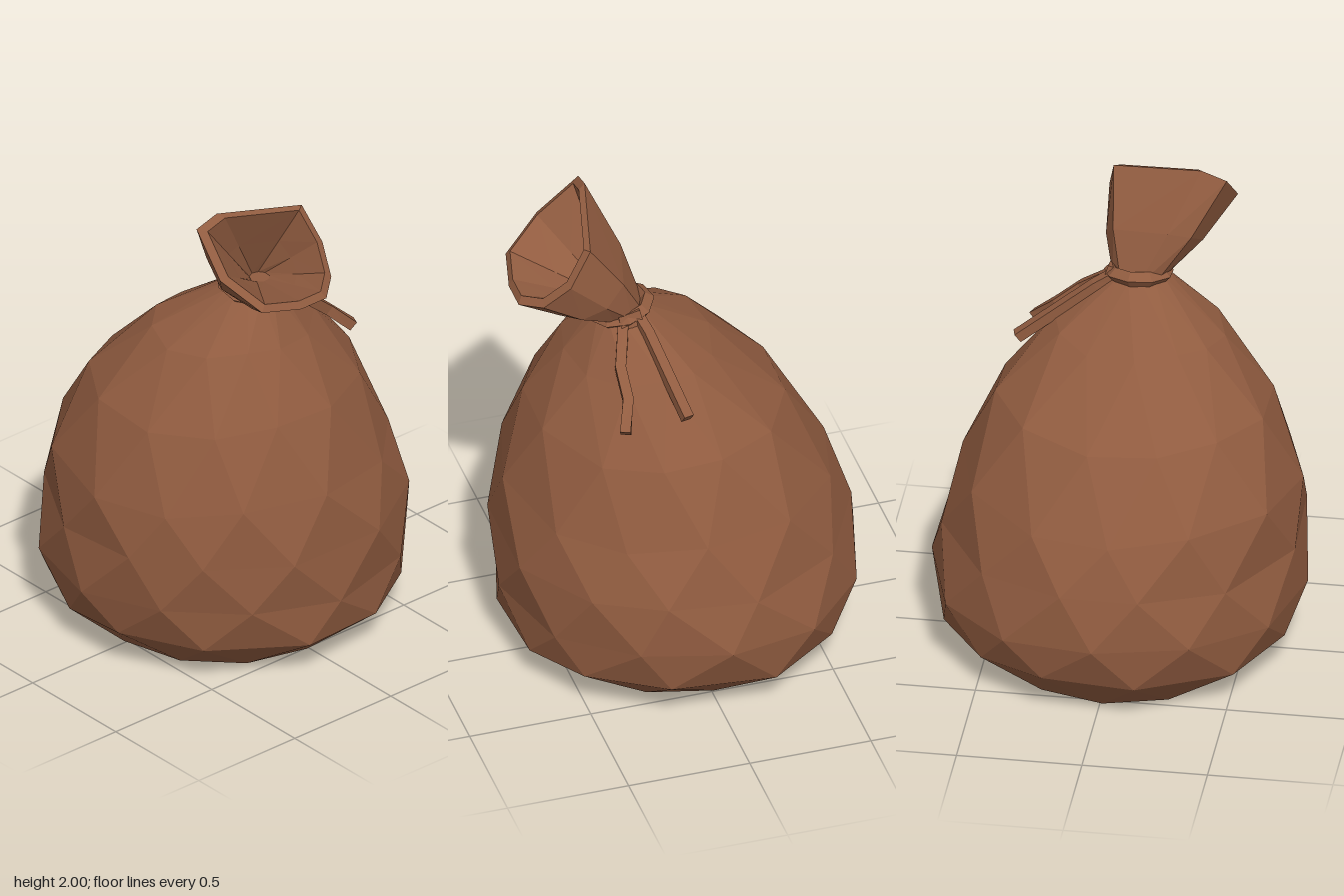
import * as THREE from 'three';

const V = (x, y, z) => new THREE.Vector3(x, y, z);

// Skin a series of equal-length rings with flat facets, optionally capped
function loft(rings, capStart, capEnd) {
  const pos = [];
  const tri = (...pts) => pts.forEach(p => pos.push(p.x, p.y, p.z));
  const n = rings[0].length;
  const middle = r => r.reduce((s, p) => s.add(p), V(0, 0, 0)).divideScalar(n);
  for (let k = 0; k < rings.length - 1; k++) {
    const a = rings[k], b = rings[k + 1];
    for (let i = 0; i < n; i++) {
      const j = (i + 1) % n;
      tri(a[i], b[i], a[j]);
      tri(b[i], b[j], a[j]);
    }
  }
  const first = rings[0], last = rings[rings.length - 1];
  const c0 = middle(first), c1 = middle(last);
  for (let i = 0; i < n; i++) {
    const j = (i + 1) % n;
    if (capStart) tri(c0, first[i], first[j]);
    if (capEnd) tri(c1, last[j], last[i]);
  }
  const g = new THREE.BufferGeometry();
  g.setAttribute('position', new THREE.Float32BufferAttribute(pos, 3));
  g.computeVertexNormals();
  return g;
}

// Small repeatable irregularity in -1..1
const wobble = (k, i) => Math.sin(k * 12.9 + i * 4.7 + Math.sin(i * 3.1 + k) * 2);

export function createModel() {
  const group = new THREE.Group();
  const cloth = new THREE.MeshStandardMaterial({ color: 0x915c40, flatShading: true });
  cloth.name = 'brown cloth';
  const add = (name, geometry) => {
    const m = new THREE.Mesh(geometry, cloth);
    m.name = name;
    group.add(m);
    return m;
  };

  // Sack body: y, left, right, back, front of each ring, staggered half a step
  const sections = [
    [0.005, -0.51, 0.49, -0.52, 0.50],
    [0.165, -0.69, 0.69, -0.685, 0.69],
    [0.34, -0.74, 0.735, -0.725, 0.71],
    [0.56, -0.73, 0.70, -0.69, 0.725],
    [0.79, -0.715, 0.625, -0.625, 0.675],
    [1.10, -0.60, 0.49, -0.445, 0.57],
    [1.37, -0.40, 0.27, -0.165, 0.425],
    [1.56, -0.15, 0.06, 0.11, 0.31],
  ];
  const sides = 12;
  const body = sections.map(([y, l, r, b, f], k) => {
    const loose = k > 0 && k < sections.length - 1 ? 1 : 0;
    return Array.from({ length: sides }, (_, i) => {
      const a = ((i + k / 2 + loose * 0.1 * wobble(k + 5, i)) / sides) * Math.PI * 2;
      const s = 1.01 + loose * (0.005 + 0.006 * wobble(k, i));
      return V(
        (l + r) / 2 + Math.cos(a) * s * (r - l) / 2,
        y + loose * 0.02 * wobble(k + 9, i),
        (b + f) / 2 + Math.sin(a) * s * (f - b) / 2);
    });
  });
  add('sackBody', loft(body, true, true));

  // Gathered mouth: bulging outer wall, thick rim, then the inner wall back to the neck
  const rim = [
    [-0.385, 1.965, 0.275], [-0.285, 2.0, 0.28], [0.08, 1.94, 0.37],
    [0.11, 1.80, 0.46], [0.07, 1.70, 0.56], [-0.02, 1.67, 0.635],
    [-0.15, 1.67, 0.635], [-0.32, 1.70, 0.595], [-0.405, 1.81, 0.44],
  ].map(p => V(...p));
  const middle = r => r.reduce((s, p) => s.add(p), V(0, 0, 0)).divideScalar(r.length);
  const neck = (r, y, z) => rim.map((_, i) => {
    const a = (225 + i * 40) * Math.PI / 180;
    return V(-0.045 + Math.cos(a) * r, y, z + Math.sin(a) * r);
  });
  const mix = (a, b, t) => a.map((p, i) => p.clone().lerp(b[i], t));
  const swell = (ring, s) => {
    const c = middle(ring);
    return ring.map(p => p.clone().sub(c).multiplyScalar(s).add(c));
  };
  const outerNeck = neck(0.105, 1.55, 0.215);
  const innerNeck = neck(0.04, 1.61, 0.26);
  const lip = swell(rim, 0.87).map(p => p.add(V(0, 0.012, 0.005)));
  add('sackMouth', loft([
    outerNeck, swell(mix(outerNeck, rim, 0.45), 1.12), rim,
    lip, mix(lip, innerNeck, 0.5), innerNeck,
  ], false, true));

  // Cord wrapped around the neck, tilted forward, with a knot on one side
  const tie = add('neckTie', new THREE.TorusGeometry(0.108, 0.032, 4, 9));
  tie.rotation.x = Math.PI / 2 + 0.2;
  tie.position.set(-0.045, 1.56, 0.21);
  const knot = add('knot', new THREE.BoxGeometry(0.04, 0.06, 0.09));
  knot.rotation.set(0.2, 0, 0.3);
  knot.position.set(0.06, 1.56, 0.2);

  // Two loose cord ends, square in section
  const cord = (name, path, half) => {
    const pts = path.map(p => V(...p));
    const rings = pts.map((p, k) => {
      const dir = pts[Math.min(k + 1, pts.length - 1)].clone()
        .sub(pts[Math.max(k - 1, 0)]).normalize();
      const side = V(0, 1, 0).cross(dir).normalize();
      const up = dir.clone().cross(side);
      return [[1, 1], [1, -1], [-1, -1], [-1, 1]].map(([s, u]) =>
        p.clone().addScaledVector(side, s * half).addScaledVector(up, u * half));
    });
    return add(name, loft(rings, true, true));
  };
  cord('backCordEnd', [[0.04, 1.565, 0.17], [0.12, 1.52, 0.145], [0.42, 1.3, 0.075]], 0.021);
  cord('frontCordEnd', [[0.04, 1.55, 0.22], [0.19, 1.43, 0.28], [0.29, 1.345, 0.28], [0.385, 1.255, 0.32]], 0.021);

  return group;
}
